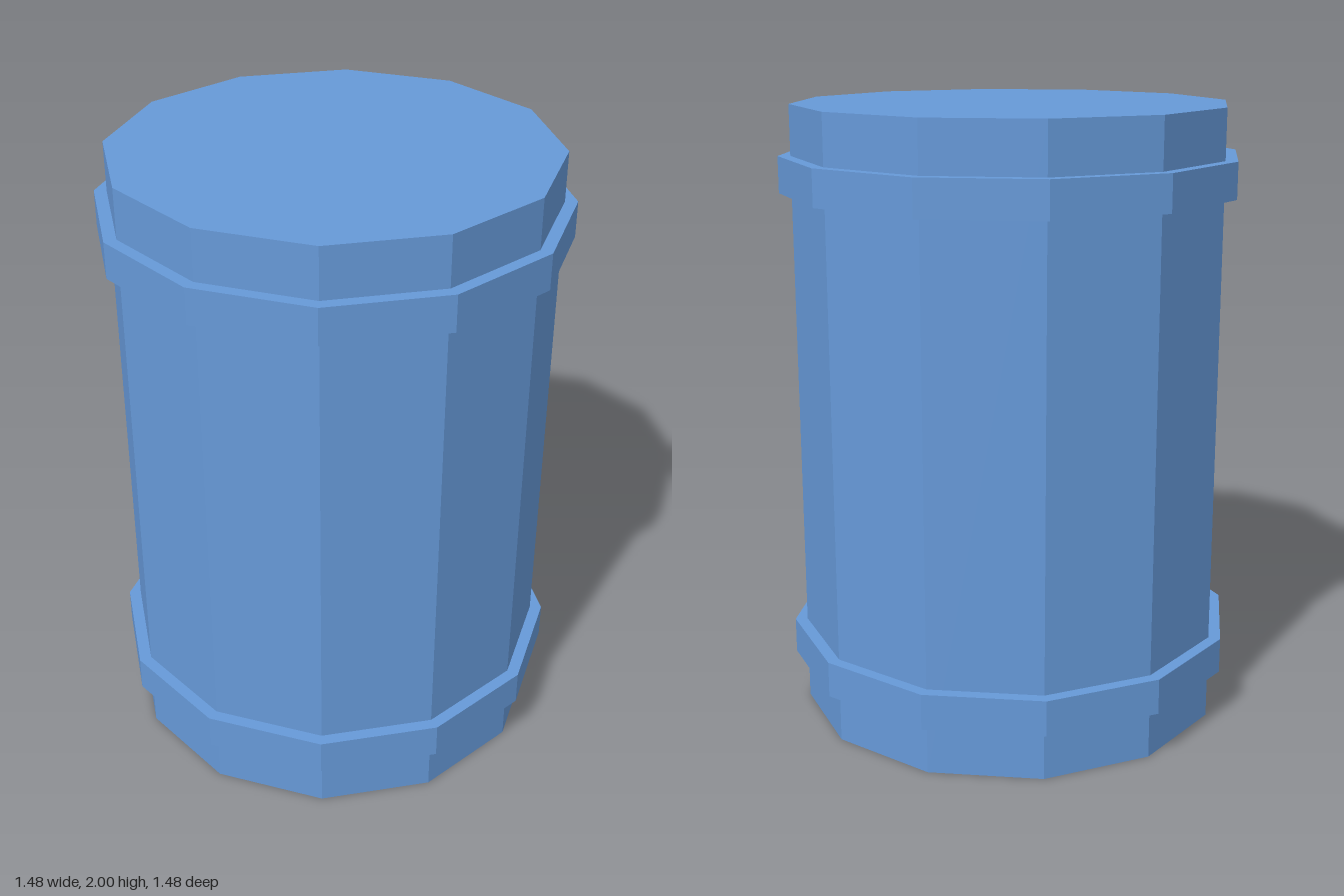
import * as THREE from 'three';

const SIDES = 12;

export function createModel() {
  const model = new THREE.Group();
  model.name = 'barrel';
  const paint = new THREE.MeshStandardMaterial({ color: 0x6699d8, flatShading: true });

  // Upright twelve-sided drum section, centred at height y
  function addDrum(name, radius, height, y) {
    const mesh = new THREE.Mesh(new THREE.CylinderGeometry(radius, radius, height, SIDES), paint);
    mesh.name = name;
    mesh.position.y = y;
    model.add(mesh);
  }

  // Main body with closed ends
  addDrum('body', 0.7, 2, 1);

  // Raised hoops near both ends
  addDrum('lowerHoop', 0.74, 0.116, 0.222);
  addDrum('upperHoop', 0.74, 0.116, 1.782);

  return model;
}
